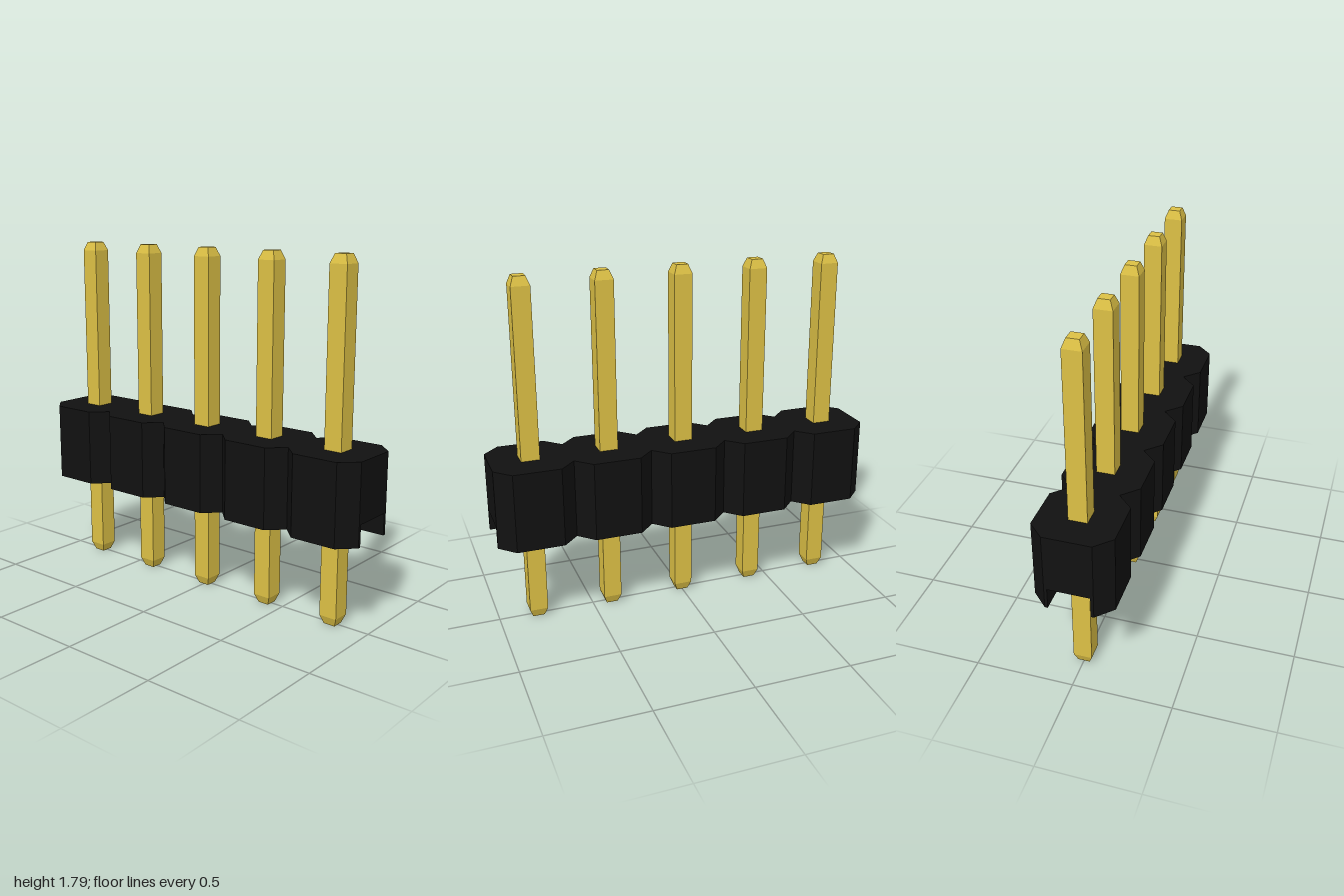
import * as THREE from 'three';

const COUNT = 5, PITCH = 0.4;
const HALF = 0.2, CORNER = 0.12;               // cell half size and chamfer start
const BOTTOM = 0.47, CHANNEL_TOP = 0.58, TOP = 0.88;
const CHANNEL_HALF = 0.105;
const PIN_HEIGHT = 1.79, PIN_HALF = 0.047, TIP_HALF = 0.03, TIP_LENGTH = 0.045;

const plastic = new THREE.MeshStandardMaterial({ color: 0x111111, flatShading: true });
const gold = new THREE.MeshStandardMaterial({ color: 0xdcc045, flatShading: true });

const cellX = (i) => (i - (COUNT - 1) / 2) * PITCH;

// Scalloped edge of the row of chamfered cells, running from +x to -x
function scallopedEdge() {
  const points = [];
  for (let i = COUNT - 1; i >= 0; i--) {
    const x = cellX(i);
    points.push([x + HALF, CORNER], [x + CORNER, HALF], [x - CORNER, HALF]);
  }
  points.push([cellX(0) - HALF, CORNER]);
  return points;
}

// Upright prism from a plan outline
function prism(outline, y0, y1) {
  const shape = new THREE.Shape(outline.map(([x, y]) => new THREE.Vector2(x, y)));
  const geometry = new THREE.ExtrudeGeometry(shape, { depth: y1 - y0, bevelEnabled: false });
  return geometry.rotateX(-Math.PI / 2).translate(0, y0, 0);
}

function addPart(parent, name, geometry, material) {
  const mesh = new THREE.Mesh(geometry, material);
  mesh.name = name;
  parent.add(mesh);
  return mesh;
}

export function createModel() {
  const model = new THREE.Group();
  model.name = 'pinHeader';

  // Housing: solid upper block over two rails that leave a channel between them
  const housing = new THREE.Group();
  housing.name = 'housing';
  model.add(housing);
  const edge = scallopedEdge();
  const block = [...edge, ...edge.map(([x, y]) => [-x, -y])];
  addPart(housing, 'housingBlock', prism(block, CHANNEL_TOP, TOP), plastic);

  const end = COUNT * PITCH / 2;
  const rail = prism([[-end, CHANNEL_HALF], [end, CHANNEL_HALF], ...edge], BOTTOM, CHANNEL_TOP);
  addPart(housing, 'backRail', rail, plastic);
  addPart(housing, 'frontRail', rail, plastic).rotation.y = Math.PI;

  // Square pins with tapered tips at both ends
  const r = PIN_HALF * Math.SQRT2, tip = TIP_HALF * Math.SQRT2;
  const profile = [
    [0, 0], [tip, 0], [r, TIP_LENGTH],
    [r, PIN_HEIGHT - TIP_LENGTH], [tip, PIN_HEIGHT], [0, PIN_HEIGHT],
  ].map(([x, y]) => new THREE.Vector2(x, y));
  const pinGeometry = new THREE.LatheGeometry(profile, 4, Math.PI / 4);
  for (let i = 0; i < COUNT; i++) {
    addPart(model, `pin${i + 1}`, pinGeometry, gold).position.x = cellX(i);
  }

  return model;
}
